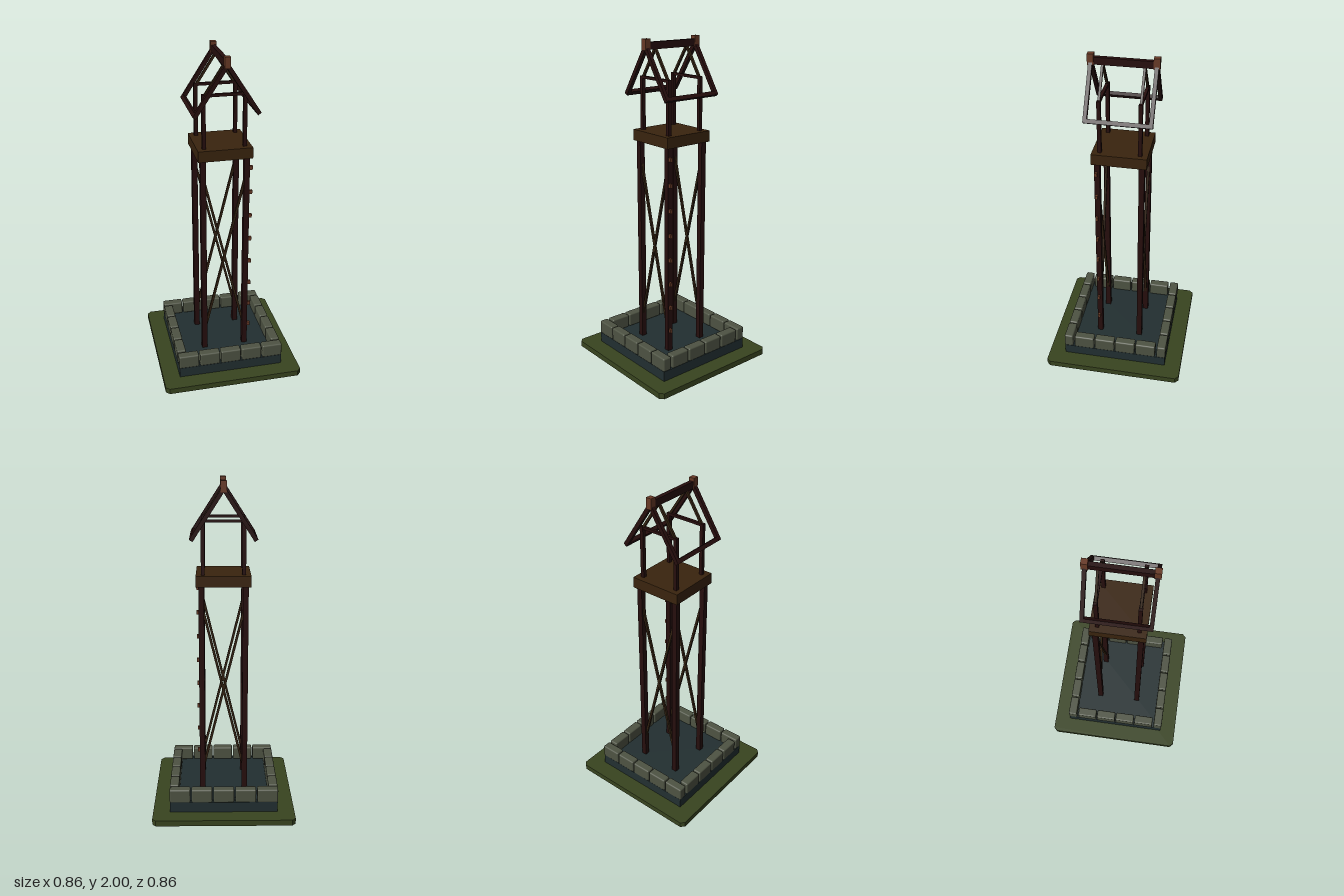
import * as THREE from 'three';
import { RoundedBoxGeometry } from 'three/addons/geometries/RoundedBoxGeometry.js';

const paint = (name, color) => {
  const m = new THREE.MeshStandardMaterial({ color });
  m.name = name;
  return m;
};

export function createModel() {
  const model = new THREE.Group();
  model.name = 'watchtower';

  const grass = paint('grass', 0x38441f);
  const slate = paint('slate', 0x222f31);
  const stone = paint('stone', 0x4e5343);
  const timber = paint('dark timber', 0x260e0d);
  const plank = paint('plank brown', 0x3a240e);
  const brace = paint('brace brown', 0x302010);
  const copper = paint('red brown', 0x683a26);

  const add = (name, geometry, material, x, y, z) => {
    const mesh = new THREE.Mesh(geometry, material);
    mesh.name = name;
    mesh.position.set(x, y, z);
    model.add(mesh);
    return mesh;
  };
  const box = (name, material, w, h, d, x, y, z) =>
    add(name, new THREE.BoxGeometry(w, h, d), material, x, y, z);
  // Straight beam between two points of a plane facing z
  const beam = (name, material, x1, y1, x2, y2, z, thick, depth) => {
    const length = Math.hypot(x2 - x1, y2 - y1);
    const mesh = box(name, material, length, thick, depth, (x1 + x2) / 2, (y1 + y2) / 2, z);
    mesh.rotation.z = Math.atan2(y2 - y1, x2 - x1);
    return mesh;
  };

  // Ground slab with cut corners
  const r = 0.43, c = 0.408;
  const outline = new THREE.Shape(
    [[c, -r], [r, -c], [r, c], [c, r], [-c, r], [-r, c], [-r, -c], [-c, -r]]
      .map(([x, y]) => new THREE.Vector2(x, y)));
  const slab = new THREE.ExtrudeGeometry(outline, { depth: 0.036, bevelEnabled: false });
  slab.rotateX(-Math.PI / 2);
  add('ground', slab, grass, 0, 0, 0);

  // Plinth and its ring of stone blocks
  box('plinth', slate, 0.654, 0.064, 0.654, 0, 0.068, 0);
  const pitch = 0.133, ring = 0.302;
  const blockX = new RoundedBoxGeometry(0.126, 0.085, 0.056, 2, 0.009);
  const blockZ = new RoundedBoxGeometry(0.056, 0.085, 0.126, 2, 0.009);
  for (const s of [-1, 1]) {
    for (let i = 0; i < 5; i++) add('stoneBlock', blockX, stone, (i - 2) * pitch, 0.141, s * ring);
    for (let i = 0; i < 4; i++) add('stoneBlock', blockZ, stone, s * ring, 0.141, (i - 1.5) * pitch);
  }

  // Legs and the lighter posts above the platform
  for (const sx of [-1, 1]) {
    for (const sz of [-1, 1]) {
      box('leg', timber, 0.033, 1.3, 0.033, sx * 0.13, 0.745, sz * 0.13);
      box('roofPost', timber, 0.022, 0.33, 0.022, sx * 0.12, 1.612, sz * 0.117);
    }
  }
  box('platform', plank, 0.322, 0.066, 0.322, 0, 1.426, 0);

  // Crossed braces on the front and back
  for (const z of [-0.13, 0.13]) {
    for (const s of [-1, 1]) beam('crossBrace', brace, -s * 0.12, 0.26, s * 0.12, 1.25, z, 0.014, 0.014);
  }

  // Climbing pegs on the front left leg
  for (let i = 0; i < 8; i++) box('peg', copper, 0.022, 0.024, 0.015, 0.154, 0.238 + i * 0.1555, 0.134);

  // Roof frame
  for (const sz of [-1, 1]) {
    box('tieBeam', timber, 0.25, 0.016, 0.018, 0, 1.77, sz * 0.117);
    for (const sx of [-1, 1]) {
      beam('rafter', timber, 0, 1.955, sx * 0.184, 1.671, sz * 0.183, 0.024, 0.022);
      beam('innerRafter', brace, 0, 1.945, sx * 0.115, 1.768, sz * 0.117, 0.014, 0.014);
    }
    box('ridgeCap', copper, 0.034, 0.064, 0.036, 0, 1.968, sz * 0.183);
  }
  box('ridgeBeam', timber, 0.026, 0.042, 0.35, 0, 1.96, 0);
  for (const s of [-1, 1]) {
    const eave = box('eaveBeam', timber, 0.024, 0.024, 0.385, s * 0.179, 1.678, 0);
    eave.rotation.z = -s * Math.atan2(0.284, 0.184);
  }
  return model;
}
